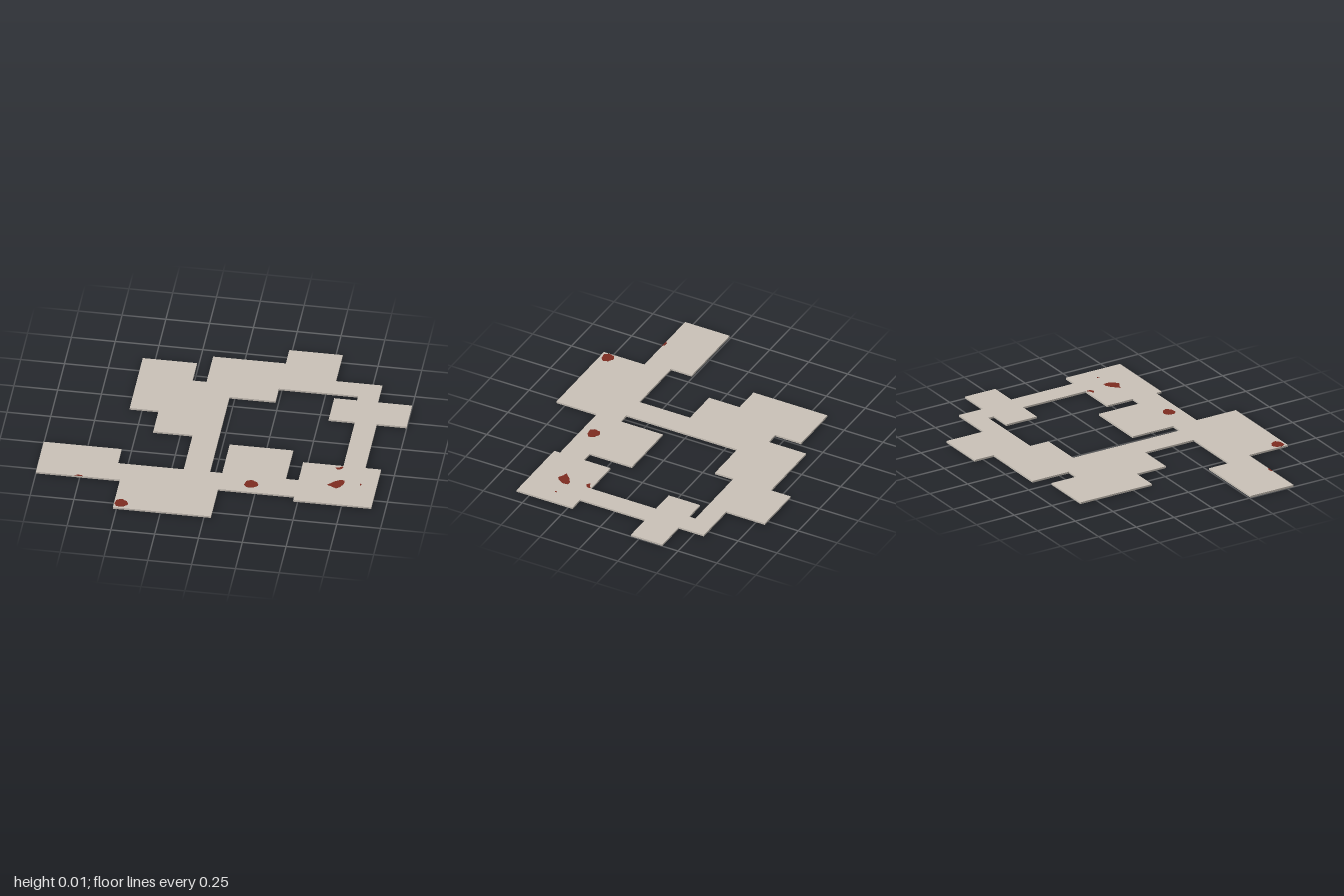
import * as THREE from 'three';

const THICK = 0.001;           // painted stain plates
const BASE = 0.001, TOP = 0.012; // slab underside and surface

// Extrudes a plan given as [x, z] points, lying flat between two heights
function flatPlate(points, y0, y1, material, name, holes = []) {
  const toVectors = list => list.map(([x, z]) => new THREE.Vector2(x, z));
  const shape = new THREE.Shape(toVectors(points));
  holes.forEach(h => shape.holes.push(new THREE.Path(toVectors(h))));
  const geometry = new THREE.ExtrudeGeometry(shape, { depth: y1 - y0, bevelEnabled: false });
  geometry.rotateX(Math.PI / 2).translate(0, y1, 0);
  const mesh = new THREE.Mesh(geometry, material);
  mesh.name = name;
  return mesh;
}

// Slightly ragged oval outline
function splat(cx, cz, rx, rz) {
  return Array.from({ length: 18 }, (_, i) => {
    const a = i / 18 * Math.PI * 2;
    const r = 0.95 + 0.07 * Math.sin(3 * a + 1) + 0.06 * Math.sin(7 * a);
    return [cx + rx * r * Math.cos(a), cz + rz * r * Math.sin(a)];
  });
}

export function createModel() {
  const stone = new THREE.MeshStandardMaterial({ color: 0xc8c0b6 });
  stone.name = 'pale stone';
  const red = new THREE.MeshStandardMaterial({ color: 0x7d2b20 });
  red.name = 'dark red';

  const model = new THREE.Group();
  model.name = 'floorPlan';

  // Rooms and corridors, clockwise from the back right room
  const outline = [
    [-0.57, -0.605], [-0.26, -0.605], [-0.26, -0.44], [-0.18, -0.44],
    [-0.18, -0.68], [0.235, -0.68], [0.235, -0.807], [0.54, -0.807],
    [0.54, -0.56], [0.805, -0.56], [0.805, -0.4], [1, -0.4],
    [1, -0.198], [0.83, -0.198], [0.83, 0.22], [0.92, 0.22],
    [0.92, 0.58], [0.475, 0.58], [0.475, 0.543], [0.04, 0.543],
    [0.04, 0.803], [-0.52, 0.803], [-0.52, 0.543], [-1, 0.543],
    [-1, 0.257], [-0.555, 0.257], [-0.555, 0.39], [-0.18, 0.39],
    [-0.18, 0.065], [-0.405, 0.065], [-0.405, -0.13], [-0.57, -0.13],
  ];
  // Open courtyard enclosed by the rooms
  const courtyard = [
    [-0.03, -0.32], [0.233, -0.32], [0.233, -0.44], [0.685, -0.44],
    [0.685, -0.4], [0.555, -0.4], [0.555, -0.198], [0.705, -0.198],
    [0.705, 0.22], [0.475, 0.22], [0.475, 0.39], [0.403, 0.39],
    [0.403, 0.12], [0.04, 0.12], [0.04, 0.39], [-0.03, 0.39],
  ];
  model.add(flatPlate(outline, BASE, TOP, stone, 'floorSlab', [courtyard]));

  // Stains on the upper surface
  const topStains = [
    splat(0.217, 0.468, 0.041, 0.036),
    splat(-0.48, 0.757, 0.04, 0.036),
    [[0.64, 0.41], [0.68, 0.37], [0.71, 0.352], [0.733, 0.355], [0.735, 0.385],
      [0.715, 0.42], [0.695, 0.435], [0.665, 0.418]],
    [[0.663, 0.245], [0.69, 0.235], [0.7, 0.224], [0.707, 0.232], [0.7, 0.25], [0.68, 0.26]],
    [[-0.78, 0.543], [-0.765, 0.533], [-0.74, 0.533], [-0.73, 0.543]],
    splat(0.828, 0.377, 0.005, 0.008),
  ];
  topStains.forEach((p, i) =>
    model.add(flatPlate(p, TOP, TOP + THICK, red, `topStain${i + 1}`)));

  // Stains on the underside
  const underStains = [
    splat(-0.232, -0.39, 0.035, 0.037),
    splat(-0.29, 0.03, 0.06, 0.02),
    splat(-0.08, 0.265, 0.047, 0.018),
  ];
  underStains.forEach((p, i) =>
    model.add(flatPlate(p, BASE - THICK, BASE, red, `undersideStain${i + 1}`)));

  return model;
}
